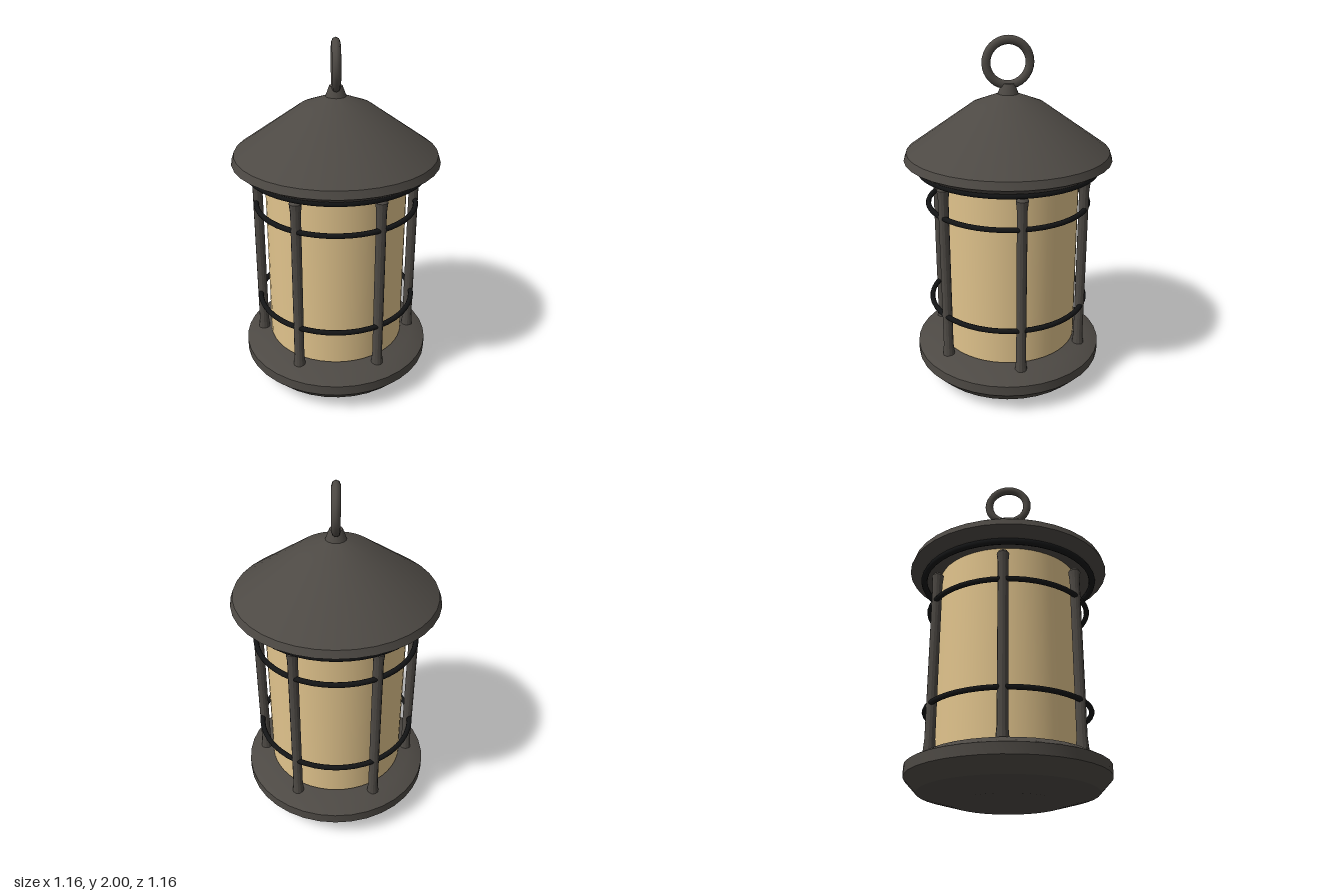
import * as THREE from 'three';
import { toCreasedNormals } from 'three/addons/utils/BufferGeometryUtils.js';

const material = (name, color) => {
  const m = new THREE.MeshStandardMaterial({ color });
  m.name = name;
  return m;
};

export function createModel() {
  const metal = material('darkMetal', 0x4d4944);
  const wire = material('blackWire', 0x141516);
  const glass = material('amberGlass', 0xe0c38c);
  const lantern = new THREE.Group();
  lantern.name = 'lantern';

  const add = (name, geometry, mat, y = 0) => {
    const mesh = new THREE.Mesh(geometry, mat);
    mesh.name = name;
    mesh.position.y = y;
    lantern.add(mesh);
    return mesh;
  };
  // Turned part from a profile listed bottom to top
  const turned = (points, segments) => toCreasedNormals(
    new THREE.LatheGeometry(points.map(([r, y]) => new THREE.Vector2(r, y)), segments), 0.5);

  // Base dish
  add('base', turned([[0, 0], [0.3, 0], [0.48, 0.05], [0.55, 0.125], [0.55, 0.183],
    [0.465, 0.228], [0, 0.228]], 36), metal);

  // Glass cylinder
  add('glass', new THREE.CylinderGeometry(0.4, 0.4, 1.06, 48), glass, 0.77);

  // Conical roof with a thin rim
  add('roof', turned([[0, 1.3], [0.52, 1.3], [0.58, 1.338], [0.565, 1.38],
    [0.2, 1.637], [0.05, 1.693], [0, 1.7]], 36), metal);

  // Six posts with flared ends
  const postGeometry = turned([[0, 0.225], [0.034, 0.225], [0.028, 0.29], [0.028, 1.18],
    [0.034, 1.237], [0.024, 1.252], [0, 1.252]], 12);
  for (let i = 0; i < 6; i++) {
    const a = i * Math.PI / 3;
    const post = add('post', postGeometry, metal);
    post.position.set(0.445 * Math.cos(a), 0, 0.445 * Math.sin(a));
  }

  // Wire hoops around the posts and under the roof
  for (const [name, radius, tube, y] of [['lowerHoop', 0.455, 0.015, 0.48],
    ['upperHoop', 0.455, 0.015, 1.08], ['roofHoop', 0.497, 0.018, 1.283]]) {
    add(name, new THREE.TorusGeometry(radius, tube, 8, 48), wire, y).rotation.x = Math.PI / 2;
  }

  // Collar and hanging ring
  add('collar', toCreasedNormals(new THREE.CylinderGeometry(0.036, 0.06, 0.065, 16), 0.5), metal, 1.715);
  add('hangingRing', new THREE.TorusGeometry(0.119, 0.024, 8, 32), metal, 1.857).rotation.y = Math.PI / 2;

  return lantern;
}
